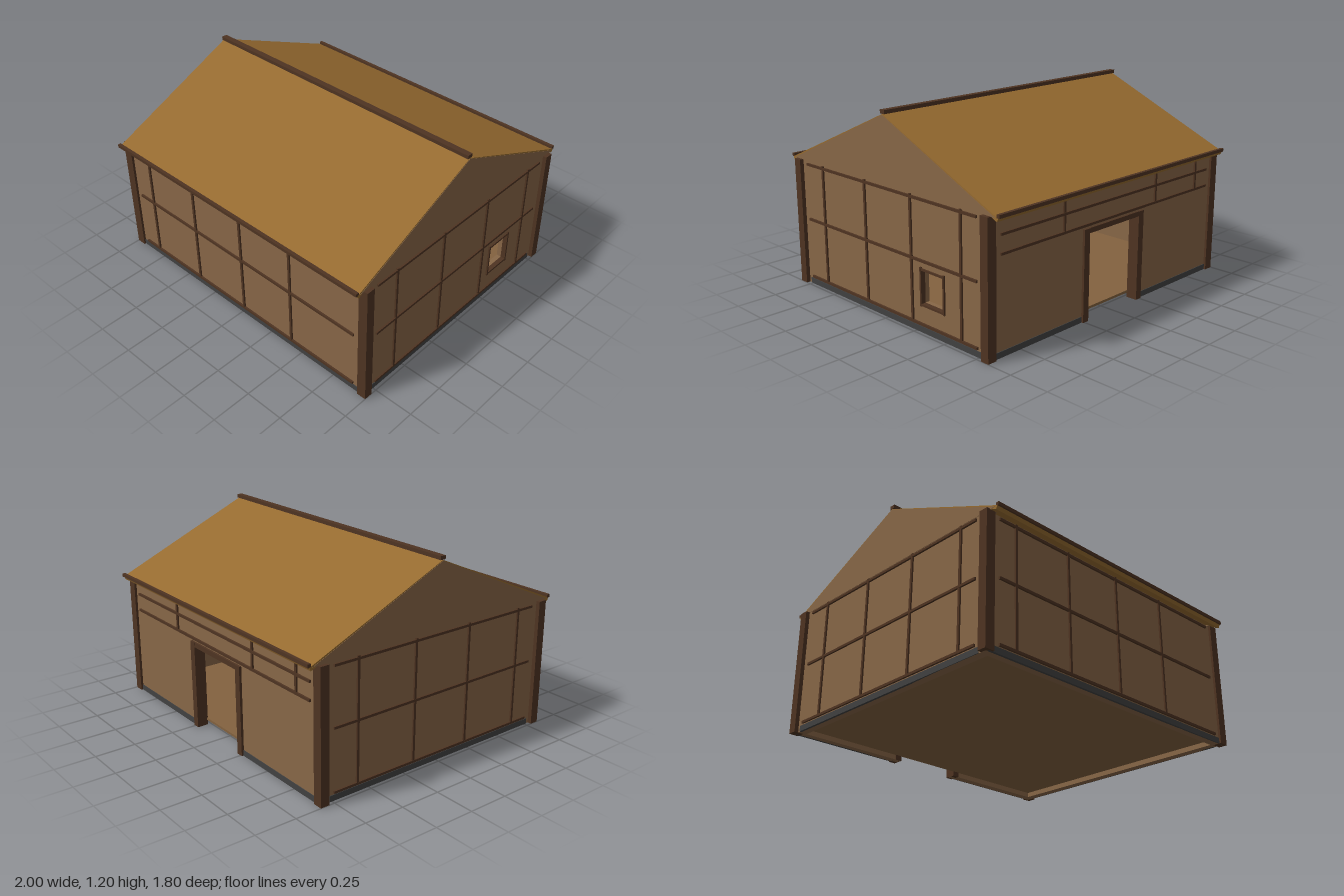
import * as THREE from 'three';

const flat = (name, color, extra = {}) => {
  const m = new THREE.MeshStandardMaterial({ color, ...extra });
  m.name = name;
  return m;
};

export function createModel() {
  const plaster = flat('tan plaster', 0x886747);
  const timber = flat('dark timber', 0x4f3422);
  const thatch = flat('golden roof', 0x966b30);
  const stone = flat('grey stone', 0x414141);
  const boards = flat('floor boards', 0x83623f);

  const model = new THREE.Group();
  model.name = 'timberHouse';

  // Box given by its minimum and maximum corners
  const box = (parent, name, mat, x0, x1, y0, y1, z0, z1) => {
    const m = new THREE.Mesh(new THREE.BoxGeometry(x1 - x0, y1 - y0, z1 - z0), mat);
    m.position.set((x0 + x1) / 2, (y0 + y1) / 2, (z0 + z1) / 2);
    m.name = name;
    parent.add(m);
    return m;
  };
  const outline = (pts) => new THREE.Shape(pts.map(([x, y]) => new THREE.Vector2(x, y)));
  const slab = (parent, name, mat, shape, depth, z) => {
    const m = new THREE.Mesh(new THREE.ExtrudeGeometry(shape, { depth, bevelEnabled: false }), mat);
    m.position.z = z;
    m.name = name;
    parent.add(m);
    return m;
  };

  const T = 0.05;      // wall thickness
  const H = 0.785;     // wall height
  const X = 0.975, Z = 0.825; // outer wall planes
  const B = 0.0075;    // half width of a batten

  // One wall, built facing +z and then turned to its side of the house
  const side = (name, angle, half, dist, opts) => {
    const g = new THREE.Group();
    g.name = name;
    g.rotation.y = angle;
    model.add(g);

    const shape = outline(opts.door
      ? [[-half, 0], [-0.22, 0], [-0.22, 0.53], [0.22, 0.53], [0.22, 0], [half, 0], [half, H], [-half, H]]
      : [[-half, 0], [half, 0], [half, H], [-half, H]]);
    if (opts.window) {
      shape.holes.push(outline([[0.3, 0.17], [0.3, 0.365], [0.48, 0.365], [0.48, 0.17]]));
    }
    slab(g, 'wall', plaster, shape, T, dist - T);

    // Stone footing along the foot of the wall
    const foot = half - 0.01;
    const runs = opts.door ? [[-foot, -0.22], [0.22, foot]] : [[-foot, foot]];
    for (const [a, b] of runs) box(g, 'footing', stone, a, b, 0, 0.035, dist - 0.01, dist + 0.004);

    // Horizontal and upright battens
    for (const y of opts.rails) {
      box(g, 'rail', timber, -opts.reach, opts.reach, y - B, y + B, dist - 0.01, dist + 0.011);
    }
    for (const u of opts.studs) {
      box(g, 'stud', timber, u - B, u + B, opts.rails[0], 0.78, dist - 0.01, dist + 0.01);
    }

    // Window frame
    if (opts.window) {
      for (const u of [0.297, 0.483]) box(g, 'windowJamb', timber, u - 0.006, u + 0.006, 0.155, 0.382, dist - 0.02, dist + 0.01);
      for (const y of [0.165, 0.37]) box(g, 'windowBar', timber, 0.292, 0.488, y - 0.006, y + 0.006, dist - 0.02, dist + 0.009);
    }

    // Door frame
    if (opts.door) {
      for (const s of [-1, 1]) box(g, 'doorPost', timber, s * 0.24 - 0.022, s * 0.24 + 0.022, 0, 0.55, dist - T - 0.005, dist + 0.015);
      box(g, 'doorLintel', timber, -0.262, 0.262, 0.52, 0.55, dist - T - 0.004, dist + 0.013);
    }

    // Gable closing the roof end
    if (opts.gable) {
      slab(g, 'gable', plaster, outline([[-0.872, H], [0.872, H], [0, 1.173]]), T, dist - T + 0.002);
    }
  };

  const sideStuds = [-0.58, -0.18, 0.22, 0.62];
  const rails = [0.05, 0.42, 0.765];
  side('frontWall', 0, X, Z, { rails, reach: 0.9, studs: [-0.78, -0.38, 0.02, 0.42] });
  side('backWall', Math.PI, X, Z, { rails: [0.57, 0.675, 0.765], reach: 0.9, studs: [-0.42, 0.38, 0.78], door: true });
  side('leftWall', Math.PI / 2, Z - T, X, { rails, reach: 0.74, studs: sideStuds, window: true, gable: true });
  side('rightWall', -Math.PI / 2, Z - T, X, { rails, reach: 0.74, studs: sideStuds, gable: true });

  // Corner posts
  for (const sx of [-1, 1]) {
    for (const sz of [-1, 1]) {
      box(model, 'cornerPost', timber, sx * 0.97 - 0.03, sx * 0.97 + 0.03, 0, 0.787, sz * 0.8125 - 0.0275, sz * 0.8125 + 0.0275);
    }
  }

  // Raised floor
  box(model, 'floor', boards, -X + T, X - T, 0.03, 0.045, -Z + T, Z - T);

  // Roof: a thin chevron running along x
  const roof = new THREE.Group();
  roof.name = 'roof';
  model.add(roof);
  const chevron = outline([[-0.89, 0.787], [-0.881, 0.767], [0, 1.153], [0.881, 0.767], [0.89, 0.787], [0, 1.177]]);
  const cover = slab(roof, 'roofCover', thatch, chevron, 2 * X, 0);
  cover.rotation.y = Math.PI / 2;
  cover.position.x = -X;

  // Ridge and eave beams
  box(roof, 'ridgeBeam', timber, -X, X, 1.178, 1.2, -0.018, 0.018);
  for (const s of [-1, 1]) box(roof, 'eaveBeam', timber, -X, X, 0.787, 0.807, s * 0.89 - 0.01, s * 0.89 + 0.01);

  return model;
}
